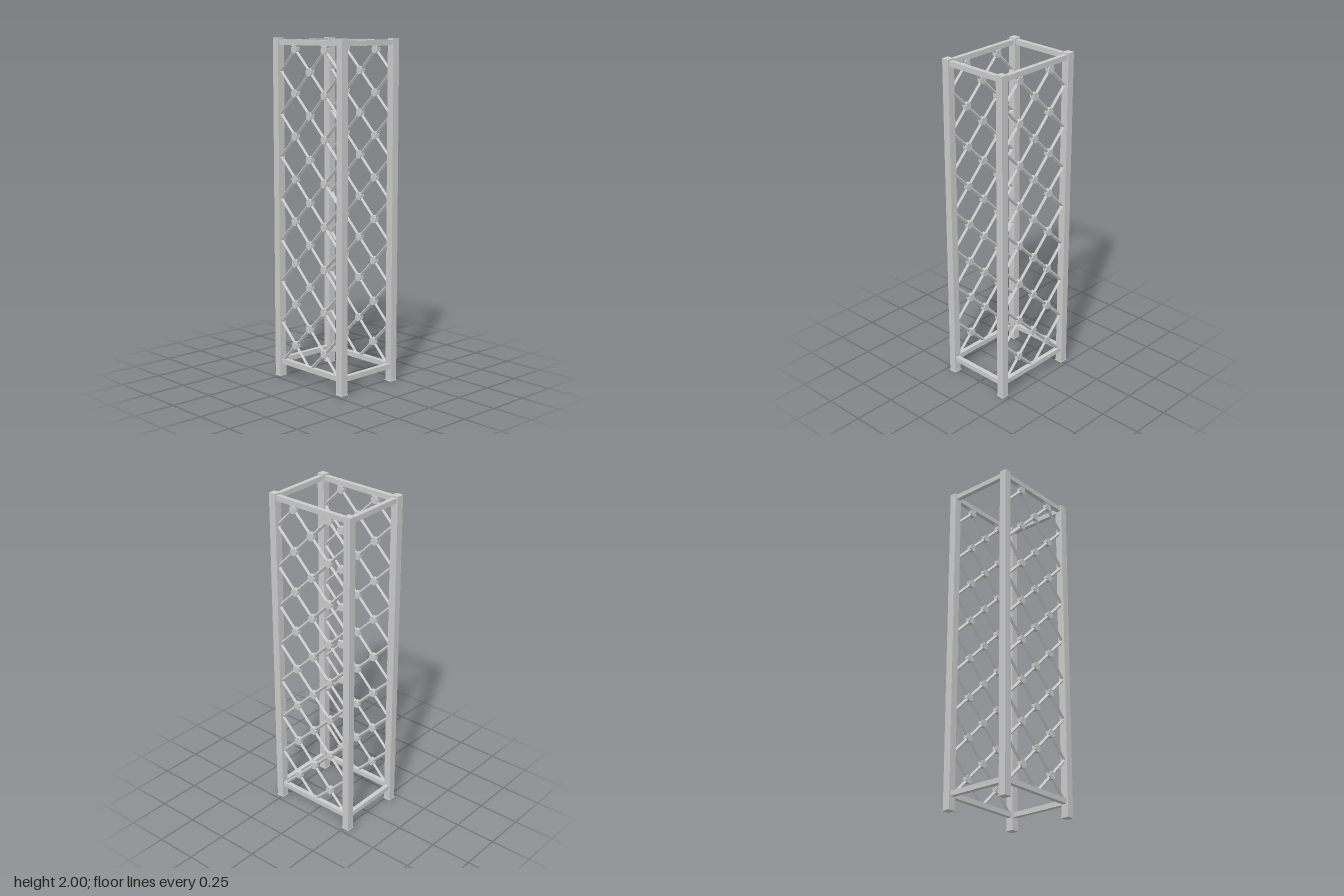
import * as THREE from 'three';

const POST_X = 0.2635, POST_Z = 0.2, BEAM = 0.027;
const BEAM_LEVELS = [0.092, 1.976];

// Lattice grid: step between crossings, height of the lowest centre crossing
const STEP = 0.2465, BASE = 0.087, HALF = 0.247;
const LOW = 0.09, HIGH = 1.97;

export function createModel() {
  const model = new THREE.Group();
  const grey = new THREE.MeshStandardMaterial({ color: 0xcccccc, flatShading: true });

  const add = (parent, name, geometry, x, y, z) => {
    const mesh = new THREE.Mesh(geometry, grey);
    mesh.name = name;
    mesh.position.set(x, y, z);
    parent.add(mesh);
    return mesh;
  };

  // Four corner posts, each on a slightly wider foot plate
  const post = new THREE.BoxGeometry(0.045, 2, 0.045);
  const foot = new THREE.BoxGeometry(0.05, 0.006, 0.05);
  for (const sx of [-1, 1]) {
    for (const sz of [-1, 1]) {
      add(model, 'cornerPost', post, sx * POST_X, 1, sz * POST_Z);
      add(model, 'footPlate', foot, sx * POST_X, 0.003, sz * POST_Z);
    }
  }

  // Rectangular frames of beams at the bottom and the top
  const wideBeam = new THREE.BoxGeometry(2 * POST_X - 0.04, 0.03, BEAM);
  const sideBeam = new THREE.BoxGeometry(BEAM, 0.03, 2 * POST_Z - 0.04);
  for (const y of BEAM_LEVELS) {
    for (const s of [-1, 1]) {
      add(model, 'wideBeam', wideBeam, 0, y, s * POST_Z);
      add(model, 'sideBeam', sideBeam, s * POST_X, y, 0);
    }
  }

  // Diagonal lattice panel with a thick disc at every crossing
  const node = new THREE.CylinderGeometry(0.024, 0.024, 0.026, 8);
  node.rotateY(Math.PI / 8).rotateX(Math.PI / 2);

  function lattice(name, z) {
    const panel = new THREE.Group();
    panel.name = name;
    panel.position.set(0.002, 1, z);
    panel.rotation.z = -0.004; // the panel leans by a hair

    for (let k = 0; k <= 8; k++) {
      const centre = BASE + k * STEP;
      const y0 = Math.max(LOW, centre - HALF);
      const y1 = Math.min(HIGH, centre + HALF);
      const mid = (y0 + y1) / 2;
      const bar = new THREE.CylinderGeometry(0.01, 0.01, (y1 - y0) * Math.SQRT2, 4);
      for (const s of [-1, 1]) {
        const rod = add(panel, 'latticeBar', bar, s * (mid - centre), mid - 1, 0);
        rod.rotation.z = -s * Math.PI / 4;
        // Crossings in the side columns
        if (k < 8) add(panel, 'latticeNode', node, s * STEP / 2, centre + STEP / 2 - 1, 0);
      }
      // Crossings in the centre column
      if (k > 0 && k < 8) add(panel, 'latticeNode', node, 0, centre - 1, 0);
    }
    model.add(panel);
  }
  lattice('frontLattice', 0.2);
  lattice('backLattice', -0.196);

  return model;
}
